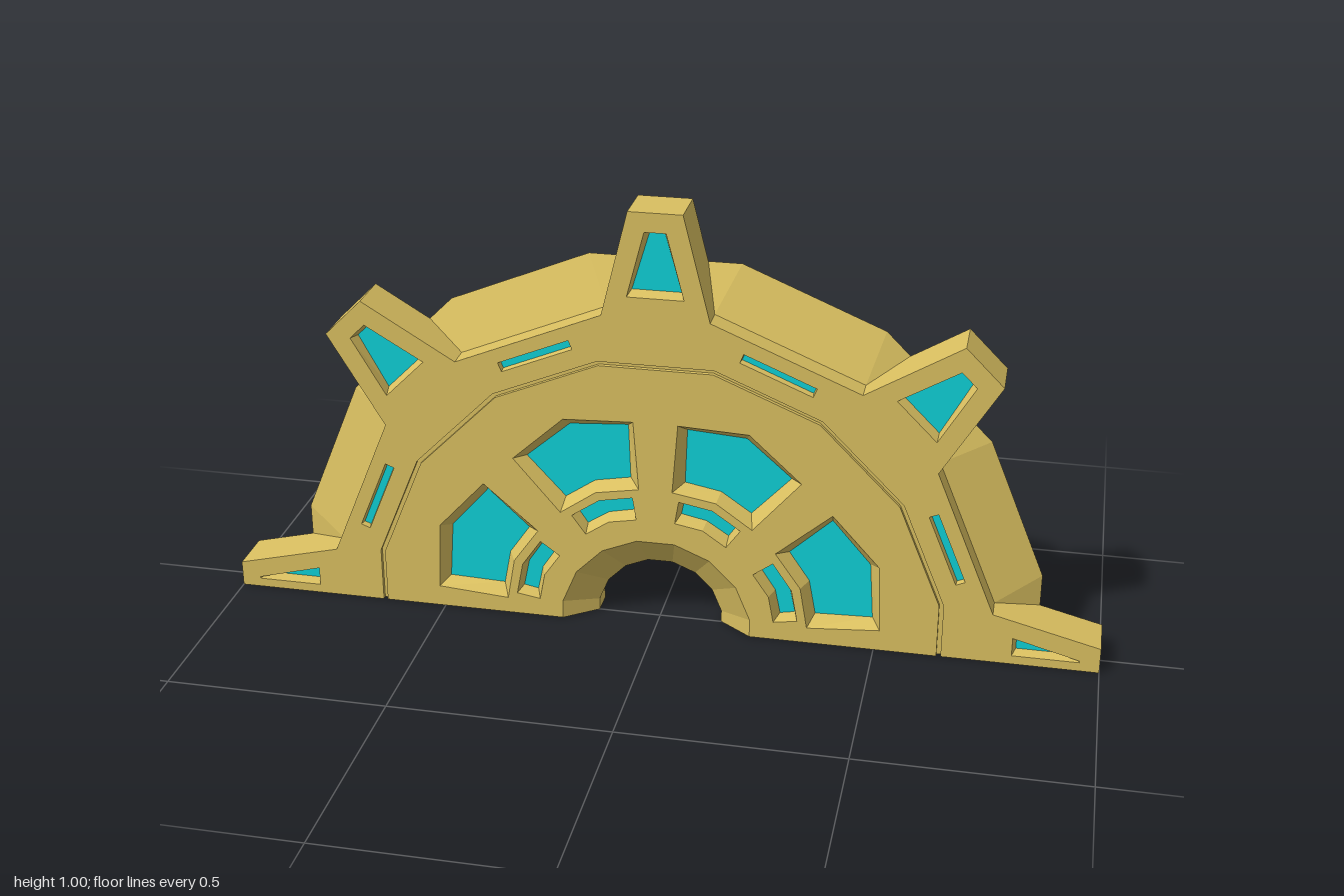
import * as THREE from 'three';

const FRONT = 0.055, MID = 0, BACK = -0.055;
const gold = new THREE.MeshStandardMaterial({ color: 0xd9bf60, flatShading: true });
const cyan = new THREE.MeshStandardMaterial({ color: 0x0fd0d6, flatShading: true });

const V = (x, y) => new THREE.Vector2(x, y);
const rad = THREE.MathUtils.degToRad;
const polar = (deg, r) => V(r * Math.cos(rad(deg)), r * Math.sin(rad(deg)));
// Turn points drawn around the top (+y) so they sit at the given angle
const turn = (pts, deg) => pts.map(([x, y]) => V(x, y).rotateAround(V(0, 0), rad(deg - 90)));

// Half of a 16-sided ring, counter-clockwise from +x to -x
function halfRing(r) {
  const pts = [V(r * Math.cos(rad(11.25)), 0)];
  for (let a = 11.25; a < 180; a += 22.5) pts.push(polar(a, r));
  pts.push(V(-r * Math.cos(rad(11.25)), 0));
  return pts;
}

// Flat face, optionally with holes, facing +z (or -z when flipped)
function face(pts, z, holes = [], flip = false) {
  const shape = new THREE.Shape(pts);
  for (const h of holes) shape.holes.push(new THREE.Path(h));
  const g = new THREE.ShapeGeometry(shape);
  if (flip) {
    const i = g.index.array;
    for (let k = 0; k < i.length; k += 3) [i[k], i[k + 1]] = [i[k + 1], i[k]];
    g.computeVertexNormals();
  }
  return g.translate(0, 0, z);
}

// Walls between two matching loops; counter-clockwise loops face outward
function walls(front, zF, back, zB, closed = true) {
  const pos = [];
  const n = front.length;
  for (let i = 0; i < (closed ? n : n - 1); i++) {
    const j = (i + 1) % n;
    const a = [back[i].x, back[i].y, zB], b = [back[j].x, back[j].y, zB];
    const c = [front[j].x, front[j].y, zF], d = [front[i].x, front[i].y, zF];
    pos.push(...a, ...b, ...c, ...a, ...c, ...d);
  }
  const g = new THREE.BufferGeometry();
  g.setAttribute('position', new THREE.Float32BufferAttribute(pos, 3));
  g.computeVertexNormals();
  return g;
}

// Toothed outer edge; the shoulder beside each tooth flares toward the back
function gearEdge(shoulder, side) {
  const tooth = [shoulder, side, [0.06, 1], [-0.06, 1], [-side[0], side[1]], [-shoulder[0], shoulder[1]]];
  const pts = [V(1, 0), ...turn(tooth.slice(3), 0)];
  for (const a of [45, 90, 135]) pts.push(...turn(tooth, a));
  pts.push(...turn(tooth.slice(0, 3), 180), V(-1, 0));
  return pts;
}

// Curved window: angle half-widths and radii, counter-clockwise
function fanWindow(a, inner, innerMid, outer, outerMid, w = a) {
  return (c) => [polar(c - a, inner), polar(c - w, outer), polar(c, outerMid),
    polar(c + w, outer), polar(c + a, inner), polar(c, innerMid)];
}

export function createModel() {
  const root = new THREE.Group();
  const add = (name, geo, mat = gold) => {
    const m = new THREE.Mesh(geo, mat);
    m.name = name;
    root.add(m);
  };

  // Recessed windows: rim loop on the front, smaller coloured floor behind
  const panelHoles = [], rimHoles = [];
  const recess = (name, rim, floor, depth, holes) => {
    holes.push(rim);
    add(name + 'Frame', walls([...rim].reverse(), FRONT, [...floor].reverse(), FRONT - depth));
    add(name, face(floor, FRONT - depth), cyan);
  };

  const bigRim = fanWindow(16.3, 0.35, 0.358, 0.515, 0.547, 16.9);
  const bigFloor = fanWindow(12.8, 0.368, 0.376, 0.497, 0.523, 14.8);
  const smallRim = fanWindow(13.3, 0.275, 0.281, 0.33, 0.337);
  const smallFloor = fanWindow(11.7, 0.288, 0.293, 0.322, 0.328);
  const slot = (w, h) => [[w, 0.705 - h], [w, 0.705 + h], [-w, 0.705 + h], [-w, 0.705 - h]];
  for (const a of [22.5, 67.5, 112.5, 157.5]) {
    recess('largeWindow', bigRim(a), bigFloor(a), 0.03, panelHoles);
    recess('smallWindow', smallRim(a), smallFloor(a), 0.03, panelHoles);
    recess('slot', turn(slot(0.087, 0.011), a), turn(slot(0.085, 0.008), a), 0.015, rimHoles);
  }

  // Tooth windows, whole on the upper teeth and halved on the base teeth
  const wedge = (b, yb, t, yt) => [[b, yb], [t, yt], [-t, yt], [-b, yb]];
  for (const a of [45, 90, 135]) {
    recess('toothWindow', turn(wedge(0.063, 0.807, 0.024, 0.956), a),
      turn(wedge(0.056, 0.817, 0.017, 0.948), a), 0.025, rimHoles);
  }
  const halfRim = [V(0.807, 0.021), V(0.956, 0.021), V(0.956, 0.025), V(0.807, 0.065)];
  const halfFloor = [V(0.815, 0.027), V(0.94, 0.027), V(0.94, 0.029), V(0.815, 0.059)];
  const mirror = (pts) => pts.map((p) => V(-p.x, p.y)).reverse();
  recess('baseToothWindow', halfRim, halfFloor, 0.025, rimHoles);
  recess('baseToothWindow', mirror(halfRim), mirror(halfFloor), 0.025, rimHoles);

  // Front: toothed rim, inner panel and the thin groove between them
  const edgeFront = gearEdge([0.12, 0.76], [0.12, 0.76]);
  const edgeBack = gearEdge([0.17, 0.86], [0.095, 0.86]);
  const hubFront = halfRing(0.222).reverse(), hubBack = halfRing(0.146).reverse();
  const grooveOut = halfRing(0.664), grooveIn = halfRing(0.654);
  const grooveZ = FRONT - 0.01;
  add('frontRim', face([...edgeFront, ...[...grooveOut].reverse()], FRONT, rimHoles));
  add('frontPanel', face([...grooveIn, ...hubFront], FRONT, panelHoles));
  add('grooveFloor', face([...grooveOut, ...[...grooveIn].reverse()], grooveZ));
  add('grooveOuterWall', walls([...grooveOut].reverse(), FRONT, [...grooveOut].reverse(), grooveZ, false));
  add('grooveInnerWall', walls(grooveIn, FRONT, grooveIn, grooveZ, false));

  // Sides, base and hub opening, straight in front and flared behind
  const front = [...edgeFront, ...hubFront];
  const middle = [...edgeFront, ...hubBack];
  const back = [...edgeBack, ...hubBack];
  add('frontSides', walls(front, FRONT, middle, MID));
  add('flaredSides', walls(middle, MID, back, BACK));
  add('backFace', face(back, BACK, [], true));
  return root;
}
